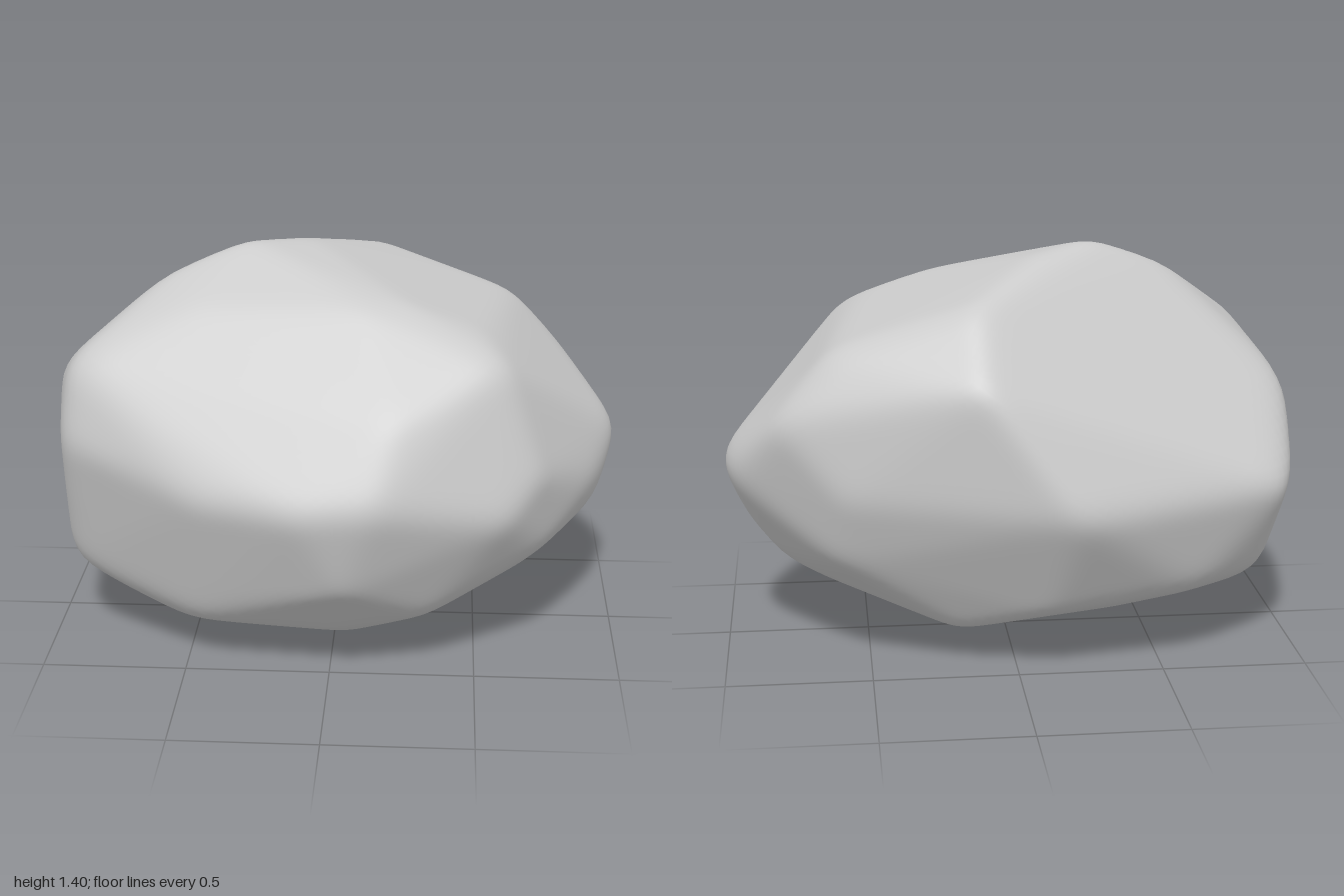
import * as THREE from 'three';
import { mergeVertices } from 'three/addons/utils/BufferGeometryUtils.js';
import { ConvexGeometry } from 'three/addons/geometries/ConvexGeometry.js';

const MID = 0.71; // height of the rock's centre
const WEAR_ALLOWANCE = 1.008; // corners start slightly proud, then get worn down

// Main corners of the rock (x, y, z), level by level
const crown = [
  [-.32, 1.425, .02], [-.55, 1.34, .08], [-.1, 1.395, -.12], [.13, 1.3, -.49],
  [.1, 1.285, .34], [.27, 1.27, .3], [-.5, 1.26, .29],
];
const shoulders = [
  [.57, 1.13, .46], [.5, 1.19, .28], [-.88, 1.09, .38], [.62, 1.14, -.43], [.13, 1.06, -.71],
  [.8, .92, -.47], [-1, .92, -.1], [.22, .97, .65],
];
const girdle = [
  [.15, .72, .785], [-.1, .7, .78], [-.42, .71, .69], [-.91, .82, .43], [-.965, .68, -.34], [-.92, .65, -.48],
  [-.18, .64, -.785], [.58, .66, -.56], [.97, .68, -.26], [1.005, .73, -.11], [.9, .62, .17], [.7, .75, .5],
  [.59, .62, .6], [-.98, .48, -.05], [.93, .48, -.02], [.72, .45, .38],
];
const underside = [
  [-.92, .31, .27], [.05, .4, .7], [-.45, .2, .49], [.33, .24, .5], [.68, .23, 0], [.8, .34, -.12],
  [.6, .42, -.46], [-.1, .25, -.55], [-.6, .3, -.5], [-.9, .53, -.42], [-.87, .28, -.28], [-.86, .245, 0],
  [-.52, .12, .3], [-.4, .09, -.08], [.2, .15, -.4], [.28, .04, .05], [.05, 0, .15], [0, .12, .38],
];

// Cutting planes of the hull around the corners, each stored as normal / distance from the centre
function cuttingPlanes(corners) {
  const hull = new ConvexGeometry(
    corners.map(([x, y, z]) => new THREE.Vector3(x, y - MID, z).multiplyScalar(WEAR_ALLOWANCE)),
  );
  const { position, normal } = hull.attributes;
  const planes = [];
  for (let i = 0; i < position.count; i += 3) {
    const n = new THREE.Vector3().fromBufferAttribute(normal, i);
    const p = new THREE.Vector3().fromBufferAttribute(position, i);
    planes.push(n.divideScalar(n.dot(p)));
  }
  return planes;
}

// Carve a fine ball with the planes
function carvedBall(planes) {
  const ball = new THREE.IcosahedronGeometry(1, 28);
  ball.deleteAttribute('normal');
  ball.deleteAttribute('uv');
  const geo = mergeVertices(ball, 1e-4);
  const pos = geo.attributes.position;
  const dir = new THREE.Vector3();
  for (let i = 0; i < pos.count; i++) {
    dir.fromBufferAttribute(pos, i).normalize();
    dir.divideScalar(Math.max(...planes.map((n) => n.dot(dir))));
    pos.setXYZ(i, dir.x, dir.y, dir.z);
  }
  return geo;
}

// Wear the edges by moving each point towards the mean of its neighbours
function wear(geo, rounds) {
  const pos = geo.attributes.position.array;
  const idx = geo.index.array;
  for (let r = 0; r < rounds; r++) {
    const sum = new Float32Array(pos.length);
    const num = new Float32Array(pos.length / 3);
    for (let t = 0; t < idx.length; t += 3) {
      for (let k = 0; k < 3; k++) {
        const a = idx[t + k], b = idx[t + (k + 1) % 3];
        for (let c = 0; c < 3; c++) sum[a * 3 + c] += pos[b * 3 + c];
        num[a]++;
      }
    }
    for (let i = 0; i < pos.length; i++) {
      pos[i] += 0.6 * (sum[i] / num[Math.floor(i / 3)] - pos[i]);
    }
  }
}

export function createModel() {
  const geo = carvedBall(cuttingPlanes([...crown, ...shoulders, ...girdle, ...underside]));
  wear(geo, 5);
  geo.translate(0, MID, 0);
  geo.computeVertexNormals();
  const rock = new THREE.Mesh(geo, new THREE.MeshStandardMaterial({ color: 0xcccccc }));
  rock.name = 'rock';
  const group = new THREE.Group();
  group.name = 'boulder';
  group.add(rock);
  return group;
}
